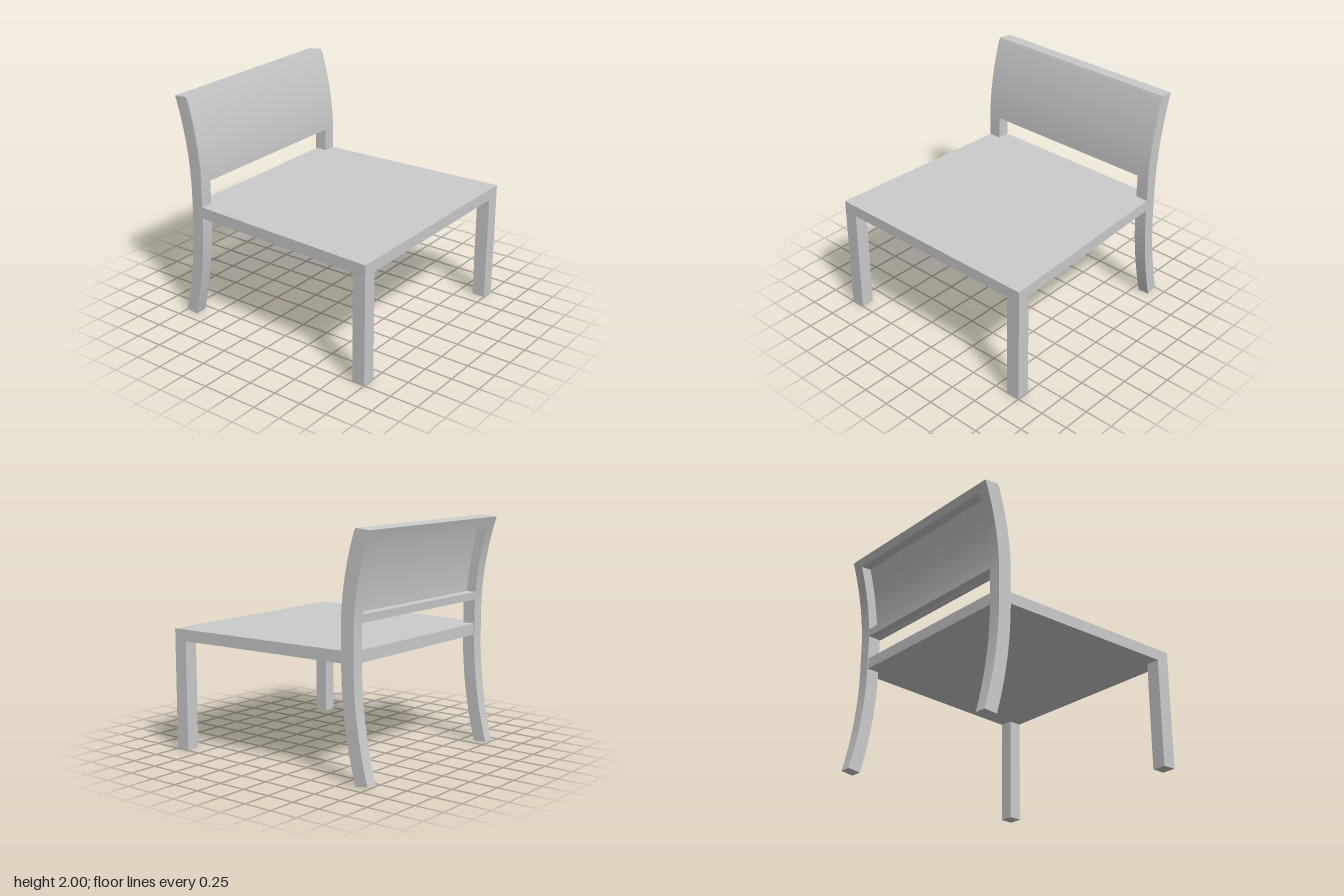
import * as THREE from 'three';
import { toCreasedNormals } from 'three/addons/utils/BufferGeometryUtils.js';

const material = new THREE.MeshStandardMaterial({ color: 0xcccccc });

// Half width of the chair, which tapers towards the back
const edge = (z) => 1 - 0.0486 * (1 - z);

// Point on the bent back frame: height y, depth d behind its front face
function bend(y, d) {
  const up = Math.max(0, (y - 1.2) / 0.8);
  const down = Math.max(0, (0.98 - y) / 0.98);
  const front = -0.741 - 0.13 * up * up - 0.135 * down * down;
  return new THREE.Vector2(front - d * (1 + 0.1 * up), y + (d / 0.115) * 0.012 * (down - up));
}

// Curved side profile between two heights and two depths
function strip(y0, y1, d0, d1, steps) {
  const front = [], back = [];
  for (let i = 0; i <= steps; i++) {
    const y = y0 + ((y1 - y0) * i) / steps;
    front.push(bend(y, d0));
    back.push(bend(y, d1));
  }
  return [...front, ...back.reverse()];
}

// Rectangular side profile
const block = (z0, z1, y0, y1) => [
  new THREE.Vector2(z0, y0), new THREE.Vector2(z1, y0),
  new THREE.Vector2(z1, y1), new THREE.Vector2(z0, y1),
];

// Extrude a (z, y) profile across x; both limits may depend on z
function part(name, profile, xMin, xMax) {
  const raw = new THREE.ExtrudeGeometry(new THREE.Shape(profile), { depth: 1, bevelEnabled: false });
  raw.rotateY(-Math.PI / 2);
  const p = raw.attributes.position;
  for (let i = 0; i < p.count; i++) {
    const z = p.getZ(i), t = p.getX(i) + 1;
    p.setX(i, xMin(z) * (1 - t) + xMax(z) * t);
  }
  const mesh = new THREE.Mesh(toCreasedNormals(raw, 0.5), material);
  mesh.name = name;
  return mesh;
}

export function createModel() {
  const chair = new THREE.Group();
  chair.name = 'chair';

  // Tapered seat slab
  chair.add(part('seat', block(-0.85, 1, 0.955, 1.055), (z) => -edge(z), edge));

  // Straight front legs and bent rear legs that run up into the back
  const frontLeg = block(0.88, 1, 0, 0.96);
  const rearLeg = strip(0, 2, 0, 0.115, 40);
  for (const [side, s] of [['left', 1], ['right', -1]]) {
    const leg = (name, profile, inner) => s > 0
      ? part(name, profile, () => inner, edge)
      : part(name, profile, (z) => -edge(z), () => -inner);
    chair.add(leg(side + 'FrontLeg', frontLeg, 0.875));
    chair.add(leg(side + 'RearLeg', rearLeg, 0.803));
  }

  // Back rails between the rear legs
  const across = [() => -0.805, () => 0.805];
  chair.add(part('topRail', strip(1.93, 2, 0, 0.115, 4), ...across));
  chair.add(part('lowerRail', strip(1.268, 1.335, 0, 0.115, 4), ...across));

  // Thin curved panel on the front of the frame
  const panelEdge = (z) => edge(z) - 0.003;
  chair.add(part('backPanel', strip(1.265, 1.985, -0.006, 0.03, 20), (z) => -panelEdge(z), panelEdge));

  return chair;
}
